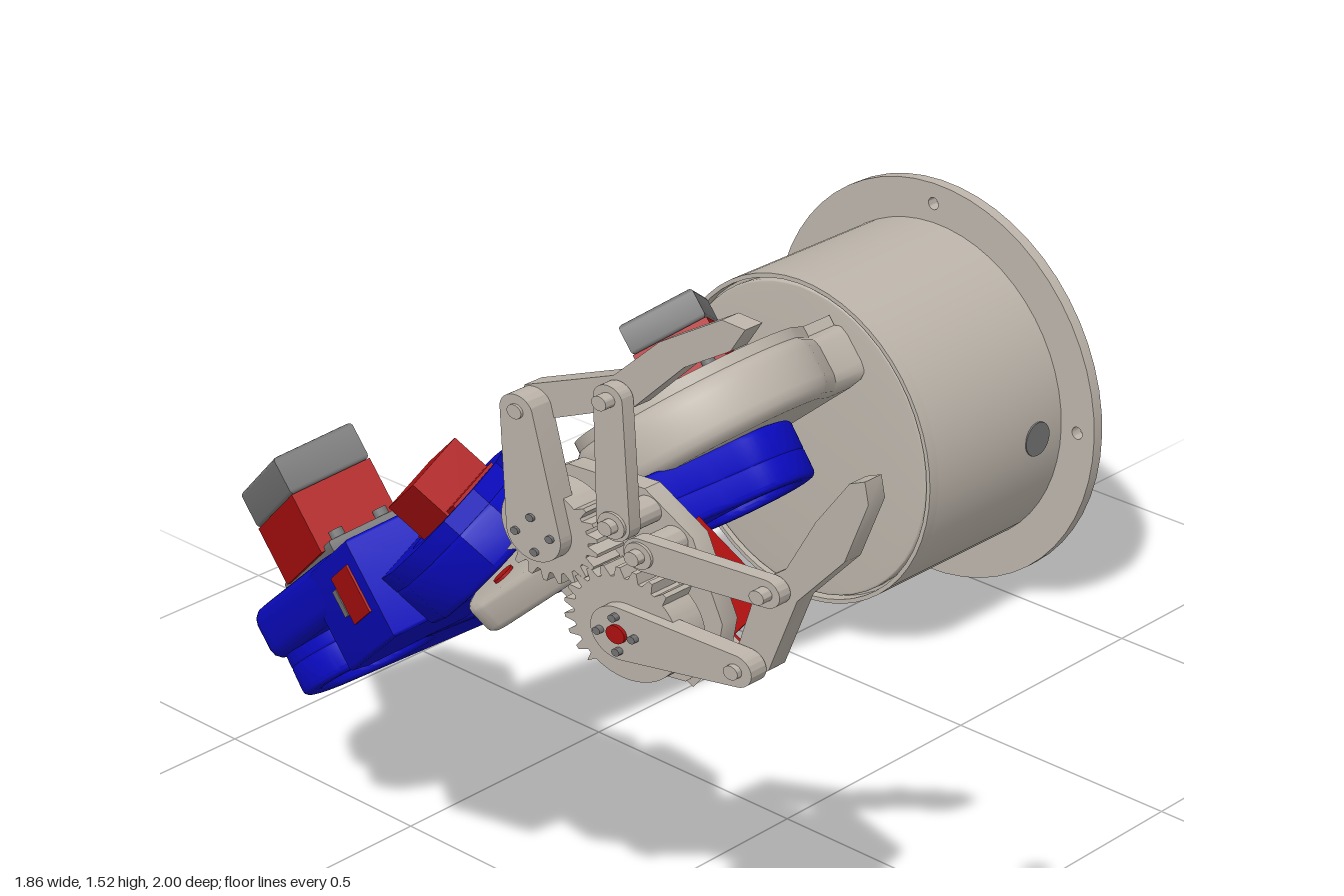
import * as THREE from 'three';
import { toCreasedNormals } from 'three/addons/utils/BufferGeometryUtils.js';

const mat = (color) => new THREE.MeshStandardMaterial({ color, side: THREE.DoubleSide });
const SHELL = mat(0xbdb5ab), BLUE = mat(0x0a0ac0), RED = mat(0xb01010), DARK = mat(0x757575);

function add(parent, name, geo, material, x = 0, y = 0, z = 0) {
  const m = new THREE.Mesh(geo, material);
  m.name = name;
  m.position.set(x, y, z);
  parent.add(m);
  return m;
}

// ---- shapes ----
const poly = (pts) => new THREE.Shape(pts.map(([x, y]) => new THREE.Vector2(x, y)));
const disc = (x, y, r) => new THREE.Shape().absarc(x, y, r, 0, Math.PI * 2, false);
const punch = (shape, ...holes) => { shape.holes.push(...holes); return shape; };

// Outline wrapped round two circles
function capsule(x1, y1, r1, x2, y2, r2) {
  const a = Math.atan2(y2 - y1, x2 - x1);
  const p = Math.acos((r1 - r2) / Math.hypot(x2 - x1, y2 - y1));
  return new THREE.Shape()
    .absarc(x1, y1, r1, a + p, a - p + Math.PI * 2, false)
    .absarc(x2, y2, r2, a - p, a + p, false);
}

// Gear with teeth only on the half facing the given angle
function gear(x, y, r, teeth, facing) {
  const pts = [];
  for (let i = 0; i < teeth * 4; i++) {
    const a = (i / (teeth * 4)) * Math.PI * 2;
    const q = i % 4 < 2 && Math.cos(a - facing) > -0.1 ? r : r - 0.018;
    pts.push([x + q * Math.cos(a), y + q * Math.sin(a)]);
  }
  return poly(pts);
}

// Slab along z between z0 and z1, with an optional rounded edge
function slab(shape, z0, z1, bevel = 0) {
  const g = new THREE.ExtrudeGeometry(shape, {
    depth: z1 - z0 - 2 * bevel, curveSegments: 28, bevelEnabled: bevel > 0,
    bevelSize: bevel, bevelThickness: bevel, bevelOffset: -bevel, bevelSegments: 3,
  });
  return toCreasedNormals(g.translate(0, 0, z0 + bevel), 0.6);
}
// The same slab lying flat: shape y becomes z, thickness runs up from y0 to y1
const flat = (shape, y0, y1, bevel) => slab(shape, -y1, -y0, bevel).rotateX(Math.PI / 2);

// Servo motor standing on its mounting flange
function servo(name, l, w, h) {
  const g = new THREE.Group();
  g.name = name;
  const rect = (a, b) => poly([[-a / 2, -b / 2], [a / 2, -b / 2], [a / 2, b / 2], [-a / 2, b / 2]]);
  add(g, 'servoFlange', flat(rect(l + 0.09, w * 0.9), 0, 0.03, 0.006), DARK);
  add(g, 'servoCore', flat(rect(l, w), 0.02, h * 0.65), RED);
  add(g, 'servoCap', flat(rect(l, w), h * 0.65, h, 0.008), DARK);
  for (const sx of [-1, 1]) for (const sz of [-1, 1])
    add(g, 'servoScrew', new THREE.CylinderGeometry(0.014, 0.014, 0.02, 12), DARK, sx * (l / 2 + 0.022), 0.035, sz * w * 0.28);
  return g;
}

function makeBase() {
  const base = new THREE.Group();
  base.name = 'base';
  base.position.set(-0.5, 0.436, 0);
  const flange = punch(disc(0, 0, 0.432), disc(0, 0, 0.325));
  for (let i = 0; i < 4; i++) flange.holes.push(disc(0.388 * Math.cos(i * Math.PI / 2), 0.388 * Math.sin(i * Math.PI / 2), 0.013));
  add(base, 'baseFlange', slab(flange, -1, -0.975), SHELL);
  add(base, 'baseWall', slab(punch(disc(0, 0, 0.347), disc(0, 0, 0.325)), -0.98, -0.6), SHELL);
  add(base, 'baseRim', slab(punch(disc(0, 0, 0.347), disc(0, 0, 0.338)), -0.6, -0.575), SHELL);
  add(base, 'turntable', slab(disc(0, 0, 0.332), -0.62, -0.58, 0.004), SHELL);
  // Inner wall with two D-shaped openings and the turning servo
  const opening = (a) => new THREE.Shape().absarc(0, 0, 0.29, a - 1.05, a + 1.05, false);
  add(base, 'innerWall', slab(punch(disc(0, 0, 0.33), opening(0), opening(Math.PI)), -0.77, -0.71), SHELL);
  const s = servo('turntableServo', 0.28, 0.14, 0.17);
  s.rotation.x = -Math.PI / 2;
  s.position.set(-0.06, 0, -0.77);
  base.add(s);
  add(base, 'cablePort', new THREE.CylinderGeometry(0.036, 0.036, 0.012, 24).rotateZ(Math.PI / 2), DARK, 0.343, 0, -0.9);
  return base;
}

// Shoulder outline, shrunk by an inset
function shoulderShape(i) {
  const s = new THREE.Shape();
  s.moveTo(-0.24 + i, -0.59 + i);
  s.lineTo(-0.24 + i, -0.45);
  s.absarc(0.1, -0.29, 0.26 - i, 2.7, -0.5, true);
  s.lineTo(0.26 - i, -0.5);
  s.lineTo(0.26 - i, -0.59 + i);
  return s;
}

// Upper arm, with its shoulder hub at the origin and round recesses underneath
function makeUpperArm(ex, ez) {
  const g = new THREE.Group();
  g.name = 'upperArm';
  const a = Math.atan2(ez, ex);
  const at = (t, w) => [ex * t - Math.sin(a) * w, ez * t + Math.cos(a) * w];
  const outline = () => {
    const sh = new THREE.Shape().absarc(0, 0, 0.145, a + 1.3, a - 1.3 + Math.PI * 2, false);
    sh.quadraticCurveTo(...at(0.5, -0.09), ...at(0.9, -0.138));
    sh.absarc(ex, ez, 0.145, a - 1.5, a + 1.5, false);
    sh.quadraticCurveTo(...at(0.5, 0.09), ...at(0.05, 0.14));
    return sh;
  };
  add(g, 'upperArmBody', flat(outline(), -0.035, 0.035, 0.01), BLUE);
  add(g, 'upperArmUnderside', flat(punch(outline(), disc(0, 0, 0.105), disc(ex, ez, 0.105)), -0.085, -0.02, 0.012), BLUE);
  for (const [x, z] of [[0, 0], [ex, ez]]) {
    add(g, 'hub', new THREE.CylinderGeometry(0.045, 0.045, 0.03, 24), BLUE, x, -0.045, z);
    for (let i = 0; i < 4; i++)
      add(g, 'hubScrew', new THREE.CylinderGeometry(0.012, 0.012, 0.02, 10), BLUE,
        x + 0.075 * Math.cos(i * Math.PI / 2), -0.04, z + 0.075 * Math.sin(i * Math.PI / 2));
  }
  return g;
}

// Forearm, with x running from elbow to wrist
function makeForearm() {
  const fore = new THREE.Group();
  fore.name = 'forearm';
  add(fore, 'elbowPlate', flat(capsule(0, 0, 0.165, 0.32, 0, 0.13), 0.035, 0.135, 0.025), BLUE);
  add(fore, 'forearmBox', flat(poly([[0.2, -0.13], [0.61, -0.13], [0.61, 0.13], [0.27, 0.13], [0.2, 0.08]]), -0.06, 0.125, 0.006), BLUE);
  add(fore, 'rollServo', new THREE.BoxGeometry(0.12, 0.09, 0.2), RED, 0.5, 0.045, 0.034);
  add(fore, 'rollServoBack', new THREE.BoxGeometry(0.12, 0.04, 0.1), RED, 0.5, 0.03, -0.083);
  add(fore, 'rollServoEar', new THREE.BoxGeometry(0.025, 0.05, 0.2), DARK, 0.425, 0.045, 0.035);
  const elbow = servo('elbowServo', 0.3, 0.16, 0.21);
  elbow.position.set(0.09, 0.135, -0.01);
  fore.add(elbow);

  // Wrist fork, rolled about the forearm
  const roll = new THREE.Group();
  roll.name = 'wristRoll';
  roll.position.set(0.012, 0.025, -0.012);
  roll.rotation.x = 0.38;
  fore.add(roll);
  const wrist = () => poly([[0.59, -0.1], [0.73, -0.15], [0.83, -0.14], [0.95, -0.07], [0.98, 0], [0.95, 0.065],
    [0.87, 0.11], [0.74, 0.125], [0.59, 0.1]]);
  add(roll, 'wrist', flat(wrist(), -0.065, 0.025, 0.012), BLUE);
  add(roll, 'wristRim', flat(punch(wrist(), capsule(0.77, 0, 0.075, 0.87, 0, 0.075)), 0.02, 0.055), BLUE);
  add(roll, 'wristServo', new THREE.BoxGeometry(0.18, 0.11, 0.11), RED, 0.8, 0.075, -0.02);
  add(roll, 'wristServoEars', new THREE.BoxGeometry(0.25, 0.02, 0.1), RED, 0.81, 0.05, -0.02);
  return fore;
}

// Arm frame: x runs along the forearm, y along the hinge axes
function makeArm() {
  const arm = new THREE.Group();
  arm.name = 'arm';
  arm.position.set(-0.5, 0.44, 0);
  arm.rotation.z = THREE.MathUtils.degToRad(39);

  add(arm, 'shoulder', flat(shoulderShape(0), 0.03, 0.16, 0.035), SHELL);
  add(arm, 'shoulderRim', flat(punch(shoulderShape(0.015), shoulderShape(0.038)), 0.15, 0.175), SHELL);
  const s1 = servo('shoulderServo', 0.3, 0.16, 0.18);
  s1.position.set(0.08, 0.15, -0.34);
  s1.rotation.y = -Math.PI / 4;
  arm.add(s1);

  const upper = makeUpperArm(-0.13, 0.86);
  upper.position.set(0.1, -0.005, -0.29);
  upper.rotation.x = -0.045;
  arm.add(upper);

  const fore = makeForearm();
  fore.position.set(-0.03, 0, 0.57);
  fore.rotation.y = -THREE.MathUtils.degToRad(20);
  arm.add(fore);

  // Link that carries the gripper, rolled like the wrist
  const link = new THREE.Group();
  link.name = 'wristLink';
  link.position.set(0, -0.085, 0.82);
  link.rotation.x = 0.36;
  arm.add(link);
  add(link, 'linkPlate', flat(capsule(0.77, -0.01, 0.1, 0.96, 0, 0.075), -0.03, 0.03, 0.012), SHELL);
  add(link, 'wristAxle', new THREE.CylinderGeometry(0.02, 0.02, 0.07, 20), RED, 0.78, 0, 0.02);
  return arm;
}

// Gripper: flat layers on a slightly slanted plane
function makeGripper() {
  const grip = new THREE.Group();
  grip.name = 'gripper';
  const slant = new THREE.Matrix4().set(1, 0, 0, 0, 0, 1, 0, 0, -0.22, 0.11, 1, 0.872, 0, 0, 0, 1);
  const layer = (name, shape, z0, z1, material = SHELL) => add(grip, name, slab(shape, z0, z1).applyMatrix4(slant), material);

  layer('palm', poly([[0.25, 1.04], [0.27, 1.12], [0.34, 1.16], [0.48, 1.15], [0.56, 1.08], [0.6, 0.93], [0.58, 0.85],
    [0.52, 0.8], [0.46, 0.8], [0.38, 0.87], [0.27, 0.97]]), -0.075, -0.04);
  layer('palmFoot', poly([[0.24, 0.97], [0.34, 1.04], [0.42, 0.95], [0.33, 0.88]]), -0.11, -0.04);

  const G1 = [0.343, 1.065], G2 = [0.478, 0.915], P1 = [0.483, 1.114], P2 = [0.527, 1.07];
  const R1 = [0.338, 1.289], R2 = [0.69, 0.905], M1 = [0.498, 1.343], M2 = [0.75, 1.06];
  layer('upperGear', gear(...G1, 0.098, 22, -0.85), -0.03, 0.03);
  layer('lowerGear', gear(...G2, 0.115, 24, 2.3), -0.03, 0.03);
  layer('upperDriveArm', capsule(...G1, 0.05, ...R1, 0.03), 0.01, 0.055);
  layer('lowerDriveArm', capsule(...G2, 0.05, ...R2, 0.03), 0.015, 0.05);
  layer('upperLink', capsule(...P1, 0.03, ...M1, 0.026), 0.015, 0.04);
  layer('lowerLink', capsule(...P2, 0.03, ...M2, 0.026), 0.015, 0.04);
  for (const [x, y] of [P1, P2]) layer('linkPost', disc(x, y, 0.024), -0.05, 0.045);
  for (const [x, y] of [R1, R2, M1, M2, P1, P2]) layer('jointPin', disc(x, y, 0.013), -0.02, 0.06);
  layer('gearAxle', disc(...G2, 0.017), -0.05, 0.056, RED);
  for (const [x, y] of [G1, G2]) for (let i = 0; i < 4; i++)
    layer('gearScrew', disc(x + 0.032 * Math.cos(i * 1.571), y + 0.032 * Math.sin(i * 1.571), 0.007), 0.05, 0.06, DARK);

  // Fingers
  layer('upperFinger', poly([[0.308, 1.28], [0.322, 1.318], [0.49, 1.375], [0.58, 1.455], [0.695, 1.52], [0.735, 1.512],
    [0.705, 1.468], [0.62, 1.42], [0.52, 1.325], [0.35, 1.262]]), -0.025, 0.013);
  layer('lowerFinger', poly([[0.69, 0.875], [0.722, 0.9], [0.785, 1.045], [0.875, 1.14], [0.925, 1.255], [0.922, 1.295],
    [0.895, 1.285], [0.83, 1.2], [0.77, 1.1], [0.72, 1.065], [0.662, 0.91]]), -0.025, 0.013);

  // Motor behind the palm
  const motor = new THREE.Group();
  motor.name = 'gripperServo';
  motor.position.set(0.465, 0.91, 0.715);
  motor.rotation.set(0.12, 0.2, -0.7, 'YXZ');
  add(motor, 'motorBody', new THREE.BoxGeometry(0.18, 0.09, 0.15), RED);
  add(motor, 'motorEars', new THREE.BoxGeometry(0.23, 0.08, 0.02), RED, 0, 0, 0.055);
  add(motor, 'motorMount', new THREE.BoxGeometry(0.21, 0.1, 0.05), SHELL, 0, 0, 0.085);
  grip.add(motor);
  return grip;
}

export function createModel() {
  const model = new THREE.Group();
  model.name = 'robotArm';
  model.add(makeBase(), makeArm(), makeGripper());
  return model;
}
